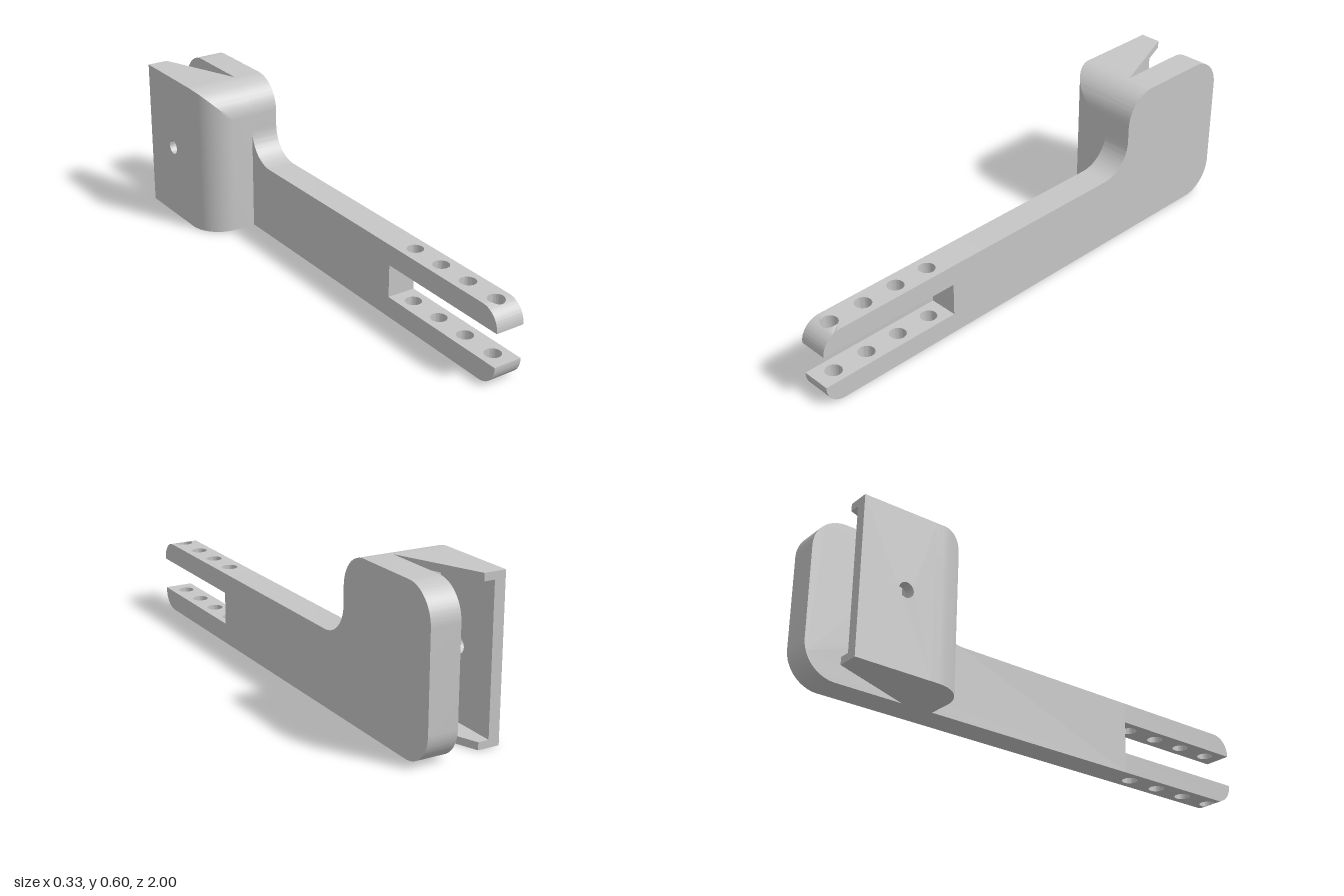
import * as THREE from 'three';
import { toCreasedNormals } from 'three/addons/utils/BufferGeometryUtils.js';

const grey = new THREE.MeshStandardMaterial({ color: 0xc6c6c6 });
grey.name = 'grey';

const TOP = 0.6, R = 0.125;            // overall height, large corner radius
const ARM_X = 0.05, ARM_W = 0.113;     // arm plate position and thickness
const ARM_H = 0.288, TINE = 0.08;      // arm height, fork tine thickness
const LEFT = -0.163, WALL = 0.042, LIP = 0.028, FRONT = -0.485, BACK = -0.935;

function part(name, geometry, parent) {
  const mesh = new THREE.Mesh(toCreasedNormals(geometry, 0.5), grey);
  mesh.name = name;
  parent.add(mesh);
  return mesh;
}

const extrude = (shape, depth) =>
  new THREE.ExtrudeGeometry(shape, { depth, bevelEnabled: false, curveSegments: 20 });

// Side profile drawn as (-z, y), given thickness along +x
const extrudeSide = (shape, width) => extrude(shape, width).rotateY(Math.PI / 2);
// Plan drawn as (x, -z), given thickness along +y
const extrudePlan = (shape, height) => extrude(shape, height).rotateX(-Math.PI / 2);

const polygon = (pts) => new THREE.Shape(pts.map(([a, b]) => new THREE.Vector2(a, b)));

function circle(x, y, r) {
  return new THREE.Path().absarc(x, y, r, 0, Math.PI * 2, true);
}

// Flat arm widening into a tall rounded plate at the back
function armGeometry() {
  const s = new THREE.Shape();
  s.moveTo(-0.425, ARM_H);
  s.lineTo(-0.425, 0);
  s.absarc(1 - R, R, R, -Math.PI / 2, 0, false);
  s.absarc(1 - R, TOP - R, R, 0, Math.PI / 2, false);
  s.absarc(0.61, TOP - R, R, Math.PI / 2, Math.PI, false);
  s.absarc(0.36, ARM_H + R, R, 0, -Math.PI / 2, true);
  return extrudeSide(s, ARM_W);
}

// One fork tine: drilled bar, drilled end and rounded tip, centred on x
function addTine(name, parent) {
  const tine = new THREE.Group();
  tine.name = name;
  parent.add(tine);
  const r = 0.075, start = 1 - r, end = 0.958, w = ARM_W / 2;
  const drop = (z) => (z > start ? r - Math.sqrt(r * r - (z - start) ** 2) : 0);

  const addDrilled = (label, zs, holes) => {
    const plan = polygon([
      ...zs.map((z) => [-w, -z]),
      ...zs.slice().reverse().map((z) => [w, -z]),
    ]);
    for (const z of holes) plan.holes.push(circle(0, -z, 0.031));
    const g = extrudePlan(plan, TINE);
    const p = g.attributes.position;
    for (let i = 0; i < p.count; i++) {
      if (p.getY(i) > TINE / 2) p.setY(i, TINE - drop(p.getZ(i)));
    }
    part(label, g, tine);
  };
  addDrilled('drilledBar', [0.425, 0.885], [0.497, 0.64, 0.782]);
  addDrilled('drilledEnd', [0.885, start, 0.937, 0.948, end], [0.925]);

  const tip = new THREE.Shape();
  tip.moveTo(-1, 0);
  tip.lineTo(-end, 0);
  tip.absarc(-start, TINE - r, r, Math.PI - Math.acos((end - start) / r), Math.PI, false);
  part('roundedTip', extrudeSide(tip, ARM_W).translate(-w, 0, 0), tine);
  return tine;
}

// Solid front of the hook: plan outline stacked in y, cut back by the rounded top edge
function hookFrontGeometry() {
  const n = 20, arc = [], levels = [[0, FRONT]];
  for (let i = 0; i <= n; i++) {
    const a = (i / n) * Math.PI / 2;
    arc.push([LEFT + R - R * Math.cos(a), FRONT - R + R * Math.sin(a)]);
    levels.push([TOP - R + R * Math.sin(a), FRONT - R + R * Math.cos(a)]);
  }
  const outline = [[0.038, -0.64], [LEFT, -0.64], ...arc, [ARM_X, FRONT], [ARM_X, -0.61]];
  const m = outline.length, pos = [], idx = [];
  for (const [y, limit] of levels) {
    for (const [x, z] of outline) pos.push(x, y, Math.min(z, limit));
  }
  for (let j = 0; j < levels.length - 1; j++) {
    for (let i = 0; i < m; i++) {
      const a = j * m + i, b = j * m + ((i + 1) % m);
      idx.push(a, b, a + m, b, b + m, a + m);
    }
  }
  const t = (levels.length - 1) * m;
  for (let i = 1; i < m - 1; i++) idx.push(t, t + i, t + i + 1, 0, i + 1, i);
  const g = new THREE.BufferGeometry();
  g.setAttribute('position', new THREE.Float32BufferAttribute(pos, 3));
  g.setIndex(idx);
  return g;
}

export function createModel() {
  const model = new THREE.Group();
  model.name = 'forkedArmWithHook';

  part('armPlate', armGeometry(), model).position.x = ARM_X;

  // Fork: the lower tine is the upper one turned over
  const fork = new THREE.Group();
  fork.name = 'fork';
  fork.position.x = ARM_X + ARM_W / 2;
  model.add(fork);
  addTine('upperTine', fork).position.y = ARM_H - TINE;
  const lower = addTine('lowerTine', fork);
  lower.rotation.z = Math.PI;
  lower.position.y = TINE;

  // Hook beside the plate, hollow between its top and bottom lips
  const hook = new THREE.Group();
  hook.name = 'hook';
  model.add(hook);
  part('hookFront', hookFrontGeometry(), hook);

  const wall = polygon([[0.64, 0], [-BACK, 0], [-BACK, TOP], [0.64, TOP]]);
  wall.holes.push(circle(0.753, 0.3, 0.029));
  part('hookWall', extrudeSide(wall, WALL), hook).position.x = LEFT;

  const inner = LEFT + WALL;
  const lip = polygon([[inner, 0.64], [0.038, 0.64], [-0.08, -BACK], [inner, -BACK]]);
  part('bottomLip', extrudePlan(lip, LIP), hook);
  part('topLip', extrudePlan(lip, LIP), hook).position.y = TOP - LIP;

  return model;
}
